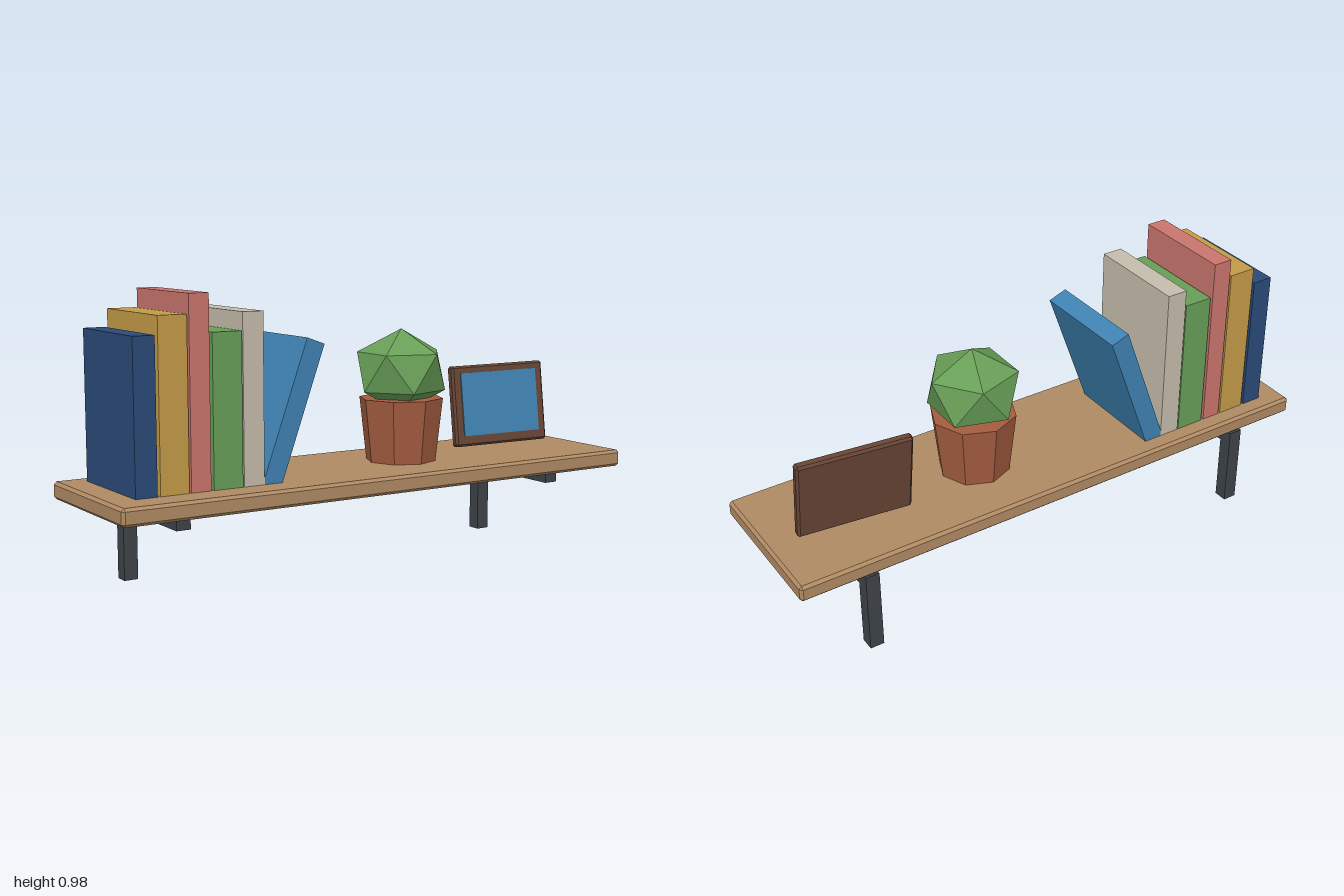
import * as THREE from 'three';
import { ConvexGeometry } from 'three/addons/geometries/ConvexGeometry.js';

const colour = (name, hex) => {
  const m = new THREE.MeshStandardMaterial({ color: hex });
  m.name = name;
  return m;
};

// Box with every edge cut by a flat chamfer c
function chamferBox(w, h, d, c) {
  const points = [];
  for (const sx of [-1, 1]) for (const sy of [-1, 1]) for (const sz of [-1, 1]) {
    const x = w / 2, y = h / 2, z = d / 2;
    points.push(
      new THREE.Vector3(sx * x, sy * (y - c), sz * (z - c)),
      new THREE.Vector3(sx * (x - c), sy * y, sz * (z - c)),
      new THREE.Vector3(sx * (x - c), sy * (y - c), sz * z));
  }
  return new ConvexGeometry(points);
}

export function createModel() {
  const model = new THREE.Group();
  model.name = 'wallShelf';

  const wood = colour('shelf wood', 0xb08a64);
  const iron = colour('bracket iron', 0x3e4449);
  const navy = colour('navy', 0x2b4a78);
  const gold = colour('gold', 0xc49b48);
  const red = colour('soft red', 0xc9756d);
  const green = colour('green', 0x689f57);
  const cream = colour('cream', 0xc5bdac);
  const blue = colour('blue', 0x4083b3);
  const clay = colour('clay', 0xa45c40);
  const darkWood = colour('dark wood', 0x684535);

  const add = (name, geometry, material, x, y, z, parent = model) => {
    const mesh = new THREE.Mesh(geometry, material);
    mesh.name = name;
    mesh.position.set(x, y, z);
    parent.add(mesh);
    return mesh;
  };

  const top = 0.357; // upper surface of the board

  // Board
  add('board', chamferBox(2, 0.06, 0.548, 0.01), wood, 0, top - 0.03, 0);

  // L-shaped brackets
  for (const side of [-1, 1]) {
    const bracket = new THREE.Group();
    bracket.name = side > 0 ? 'leftBracket' : 'rightBracket';
    bracket.position.x = side * 0.75;
    model.add(bracket);
    add('bracketArm', new THREE.BoxGeometry(0.05, 0.052, 0.45), iron, 0, 0.271, -0.049, bracket);
    add('bracketLeg', new THREE.BoxGeometry(0.05, 0.297, 0.05), iron, 0, 0.1485, -0.249, bracket);
  }

  // Upright books: left edge, right edge, top, material
  const bookDepth = 0.374, bookZ = -0.025;
  const books = [
    [-0.905, -0.83, 0.86, navy],
    [-0.82, -0.72, 0.92, gold],
    [-0.713, -0.643, 0.984, red],
    [-0.633, -0.528, 0.86, green],
    [-0.524, -0.449, 0.92, cream],
  ];
  for (const [x0, x1, y1, material] of books) {
    add('book', new THREE.BoxGeometry(x1 - x0, y1 - top, bookDepth), material,
      (x0 + x1) / 2, (top + y1) / 2, bookZ);
  }

  // Leaning book
  const leaning = add('leaningBook', new THREE.BoxGeometry(0.07, 0.5, bookDepth), blue, -0.338, 0.58, bookZ);
  leaning.rotation.z = -0.35;

  // Eight-sided pot and faceted plant, turned so one corner points up
  const pot = new THREE.CylinderGeometry(0.15, 0.125, 0.223, 8).toNonIndexed();
  pot.computeVertexNormals();
  add('pot', pot, clay, 0.2, top + 0.1115, 0);
  const bush = new THREE.IcosahedronGeometry(0.174, 0);
  bush.rotateZ(-Math.atan(2 / (1 + Math.sqrt(5))));
  bush.scale(1, 0.86, 1);
  add('plant', bush, green, 0.2, 0.674, 0);

  // Picture frame, leaning back and turned a little
  const frame = new THREE.Group();
  frame.name = 'pictureFrame';
  frame.position.set(0.698, 0.514, -0.077);
  frame.rotation.set(-0.13, -0.1, 0);
  model.add(frame);
  add('frame', chamferBox(0.4, 0.3, 0.036, 0.008), darkWood, 0, 0, 0, frame);
  add('picture', new THREE.BoxGeometry(0.33, 0.234, 0.006), blue, 0, 0.005, 0.019, frame);

  return model;
}
